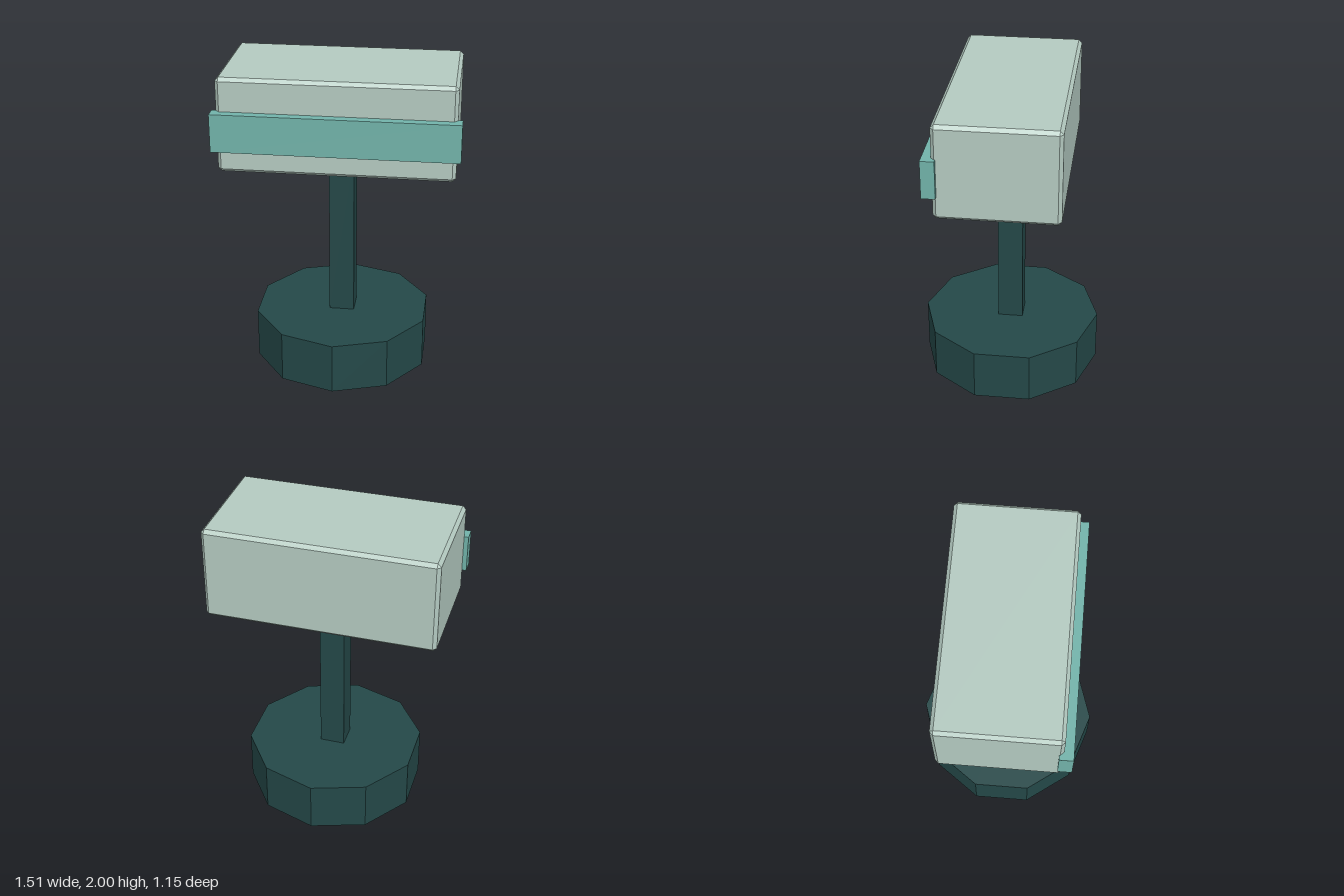
import * as THREE from 'three';
import { ConvexGeometry } from 'three/addons/geometries/ConvexGeometry.js';

// Box with every edge cut by a flat chamfer c
function chamferedBox(w, h, d, c) {
  const points = [];
  for (const sx of [-1, 1]) for (const sy of [-1, 1]) for (const sz of [-1, 1]) {
    const x = sx * w / 2, y = sy * h / 2, z = sz * d / 2;
    points.push(
      new THREE.Vector3(x, y - sy * c, z - sz * c),
      new THREE.Vector3(x - sx * c, y, z - sz * c),
      new THREE.Vector3(x - sx * c, y - sy * c, z),
    );
  }
  return new ConvexGeometry(points);
}

export function createModel() {
  const model = new THREE.Group();
  const material = (name, color) => {
    const m = new THREE.MeshStandardMaterial({ color });
    m.name = name;
    return m;
  };
  const darkTeal = material('darkTeal', 0x244848);
  const paleGreen = material('paleGreen', 0xb4cac1);
  const teal = material('teal', 0x72b3aa);
  darkTeal.flatShading = true;

  const add = (name, geometry, mat, y, z = 0) => {
    const mesh = new THREE.Mesh(geometry, mat);
    mesh.name = name;
    mesh.position.set(0, y, z);
    model.add(mesh);
  };

  // Ten-sided foot with a corner facing forward
  add('base', new THREE.CylinderGeometry(0.575, 0.575, 0.33, 10), darkTeal, 0.165);
  // Square post, running slightly into base and head
  add('post', new THREE.BoxGeometry(0.16, 1.11, 0.16), darkTeal, 0.865);
  // Large chamfered head
  add('head', chamferedBox(1.45, 0.6, 0.755, 0.022), paleGreen, 1.7);
  // Wide strip across the front of the head
  add('frontBand', new THREE.BoxGeometry(1.506, 0.24, 0.085), teal, 1.67, 0.3925);

  return model;
}
